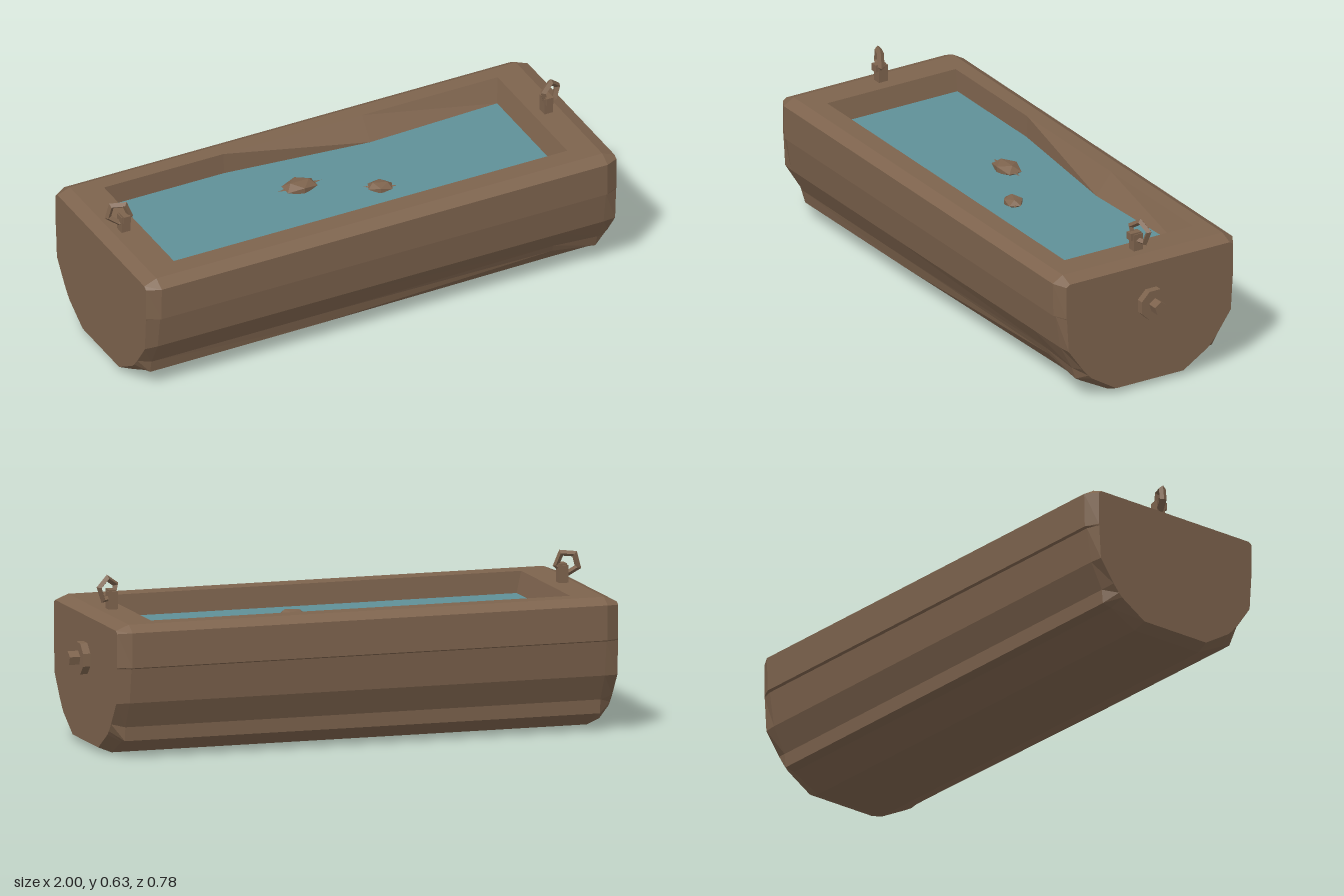
import * as THREE from 'three';

const wood = new THREE.MeshStandardMaterial({ color: 0x7d634d });
const water = new THREE.MeshStandardMaterial({ color: 0x5f9098 });
wood.name = 'wood';
water.name = 'water';
wood.flatShading = true;
wood.side = THREE.DoubleSide;

function add(parent, name, geometry, material, x = 0, y = 0, z = 0) {
  const mesh = new THREE.Mesh(geometry, material);
  mesh.name = name;
  mesh.position.set(x, y, z);
  parent.add(mesh);
  return mesh;
}

function fromTriangles(points) {
  const g = new THREE.BufferGeometry();
  g.setAttribute('position', new THREE.Float32BufferAttribute(points.flat(), 3));
  g.computeVertexNormals();
  return g;
}

const quad = (out, a, b, c, d) => out.push(a, b, c, a, c, d);

// Half profiles as [z, y], rim to base
const endHalf = [[0.345, 0.485], [0.36, 0.475], [0.36, 0.35], [0.358, 0.345],
  [0.35, 0.215], [0.29, 0.13], [0.265, 0.1], [0.25, 0.085], [0.145, 0.02]];
const midHalf = (lip, lipY) => [[0.345, 0.505], [0.388, 0.48], [0.385, 0.35], [0.375, 0.345],
  [0.355, 0.215], [0.305, 0.12 + (lipY - 0.07) * 0.4], [lip, lipY], [0.26, 0.058], [0.15, 0]];

function section(x, front, back) {
  const f = front.map(([z, y]) => [x, y, z]);
  const b = back.map(([z, y]) => [x, y, -z]).reverse();
  return [...f, ...b];
}

// Hewn outer shell, open over the basin
function shellGeometry() {
  const back = midHalf(0.3, 0.066);
  const rings = [
    section(-1, endHalf, endHalf),
    section(-0.95, midHalf(0.295, 0.07), back),
    section(-0.25, midHalf(0.293, 0.072), back),
    section(0.7, midHalf(0.292, 0.105), back),
    section(0.88, midHalf(0.29, 0.075), back),
    section(0.93, endHalf, endHalf),
  ];
  const out = [];
  const n = rings[0].length, last = rings.length - 1;
  for (let i = 0; i < last; i++) {
    const isEnd = i === 0 || i === last - 1;
    for (let j = 0; j < (isEnd ? n : n - 1); j++) {
      const k = (j + 1) % n;
      quad(out, rings[i][j], rings[i][k], rings[i + 1][k], rings[i + 1][j]);
    }
  }
  for (let j = 1; j < n - 1; j++) {
    out.push(rings[0][0], rings[0][j + 1], rings[0][j]);
    out.push(rings[last][0], rings[last][j], rings[last][j + 1]);
  }
  return fromTriangles(out);
}

// Basin outlines as [x, z]; the back wall swells inward at the waterline
const RIM = 0.505, LEVEL = 0.425;
const rimLoop = [[-0.84, -0.285], [-0.35, -0.285], [0.22, -0.285], [0.775, -0.285], [0.775, 0.27], [-0.84, 0.27]];
const waterLoop = [[-0.82, -0.28], [-0.35, -0.28], [0.22, -0.22], [0.75, -0.24], [0.75, 0.263], [-0.82, 0.263]];
const toPath = loop => loop.map(([x, z]) => new THREE.Vector2(x, -z));

function rimGeometry() {
  const shape = new THREE.Shape(toPath([[-0.95, 0.345], [0.88, 0.345], [0.88, -0.345], [-0.95, -0.345]]));
  shape.holes.push(new THREE.Path(toPath(rimLoop)));
  return new THREE.ShapeGeometry(shape).rotateX(-Math.PI / 2);
}

function wallGeometry() {
  const out = [];
  rimLoop.forEach((p, i) => {
    const k = (i + 1) % rimLoop.length;
    const top = ([x, z]) => [x, RIM, z], low = ([x, z]) => [x, LEVEL, z];
    quad(out, top(p), low(waterLoop[i]), low(waterLoop[k]), top(rimLoop[k]));
  });
  return fromTriangles(out);
}

// Post with a twisted five-sided ring
function ringPost(name, x, side) {
  const g = new THREE.Group();
  g.name = name;
  add(g, 'post', new THREE.BoxGeometry(0.035, 0.07, 0.038), wood, 0, 0.035, -0.003);
  add(g, 'peg', new THREE.BoxGeometry(0.028, 0.028, 0.045), wood, 0, 0.062, 0.005);
  const ring = add(g, 'ring', new THREE.TorusGeometry(0.042, 0.013, 4, 5), wood, side * 0.018, 0.078, -0.008);
  ring.rotation.set(0, side * 0.4, side * 0.25);
  g.position.set(x, 0.5, 0);
  return g;
}

// Faceted lump with a sliver sticking out at the waterline
function lump(name, x, z, rx, ry, rz, turn) {
  const g = new THREE.Group();
  g.name = name;
  add(g, 'stone', new THREE.IcosahedronGeometry(1, 0), wood).scale.set(rx, ry, rz);
  add(g, 'sliver', new THREE.OctahedronGeometry(1, 0), wood).scale.set(rx * 1.25, 0.008, rz * 0.4);
  g.position.set(x, LEVEL + 0.008, z);
  g.rotation.y = turn;
  return g;
}

export function createModel() {
  const model = new THREE.Group();
  model.name = 'trough';
  add(model, 'shell', shellGeometry(), wood);
  add(model, 'rim', rimGeometry(), wood, 0, RIM, 0);
  add(model, 'basinWalls', wallGeometry(), wood);
  add(model, 'waterSurface', new THREE.ShapeGeometry(new THREE.Shape(toPath(waterLoop).reverse()))
    .rotateX(-Math.PI / 2), water, 0, LEVEL, 0);

  model.add(ringPost('leftRing', 0.83, 1), ringPost('rightRing', -0.905, -1));
  model.add(lump('largeLump', -0.15, -0.067, 0.072, 0.025, 0.05, 0));
  model.add(lump('smallLump', 0.11, 0.07, 0.052, 0.02, 0.04, -0.4));

  // Drain plug on the end
  const plug = new THREE.Group();
  plug.name = 'plug';
  add(plug, 'collar', new THREE.CylinderGeometry(0.062, 0.062, 0.028, 8).rotateY(Math.PI / 8), wood, 0, 0.016, 0);
  add(plug, 'stem', new THREE.CylinderGeometry(0.027, 0.027, 0.08, 5).rotateY(-Math.PI / 2), wood, 0, 0.03, 0);
  plug.rotation.z = -Math.PI / 2;
  plug.position.set(0.93, 0.33, -0.004);
  model.add(plug);
  return model;
}
